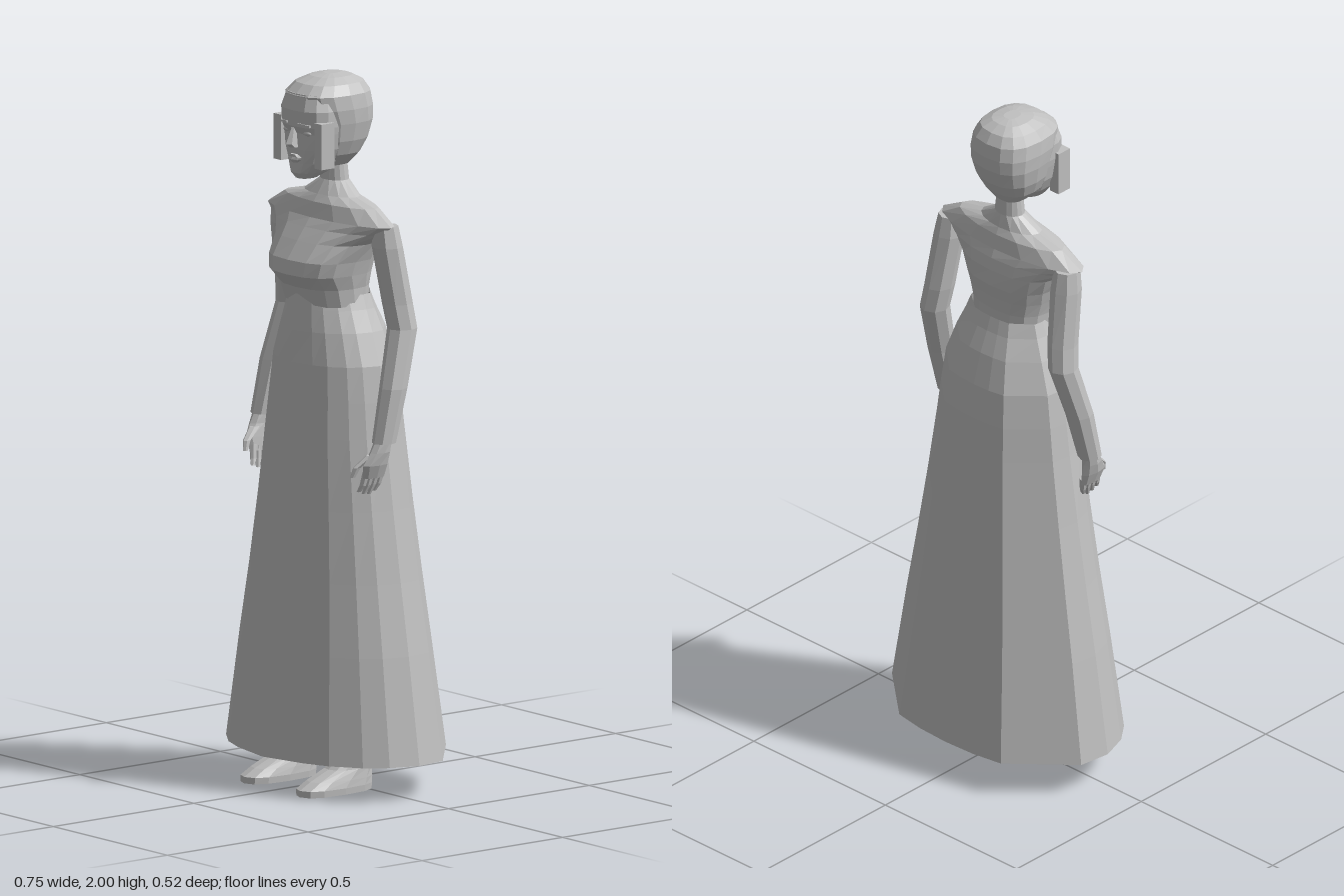
import * as THREE from 'three';

const V = (x, y, z) => new THREE.Vector3(x, y, z);

// Faceted skin over rings listed from bottom to top, each running front -> +x -> back
function loft(rings, capBottom = true, capTop = true) {
  const pos = [];
  const tri = (...p) => p.forEach(v => pos.push(v.x, v.y, v.z));
  const n = rings[0].length;
  const centre = r => r.reduce((s, p) => s.add(p), V(0, 0, 0)).divideScalar(n);
  const low = rings[0], top = rings[rings.length - 1];
  const cl = centre(low), ct = centre(top);
  for (let j = 0; j < n; j++) {
    const k = (j + 1) % n;
    for (let i = 0; i < rings.length - 1; i++) {
      const a = rings[i], b = rings[i + 1];
      tri(a[j], a[k], b[k]);
      tri(a[j], b[k], b[j]);
    }
    if (capBottom) tri(cl, low[k], low[j]);
    if (capTop) tri(ct, top[j], top[k]);
  }
  const g = new THREE.BufferGeometry();
  g.setAttribute('position', new THREE.Float32BufferAttribute(pos, 3));
  g.computeVertexNormals();
  return g;
}

// Horizontal oval: half width hw round cx, reaching zf in front and zb behind; p < 1 squares it off
function oval(n, y, hw, zf, zb, cx = 0, p = 1) {
  const zm = (zf + zb) / 2, hz = (zf - zb) / 2;
  const pow = t => Math.sign(t) * Math.abs(t) ** p;
  return Array.from({ length: n }, (_, i) => {
    const a = i / n * Math.PI * 2;
    return V(cx + hw * pow(Math.sin(a)), y, zm + hz * pow(Math.cos(a)));
  });
}

// Limb rings from rows of [x, y, z, radiusX, radiusZ]
const limb = (n, rows, p = 1) => rows.map(([x, y, z, rx, rz]) => oval(n, y, rx, z + rz, z - rz, x, p));
const mirror = rings => rings.map(r => r.map(v => V(-v.x, v.y, v.z)).reverse());

export function createModel() {
  const model = new THREE.Group();
  model.name = 'standingWoman';
  const grey = new THREE.MeshStandardMaterial({ color: 0xc0c0c0 });
  grey.name = 'plain grey';
  const cloth = new THREE.MeshStandardMaterial({ color: 0xc0c0c0, side: THREE.DoubleSide });
  cloth.name = 'plain grey cloth';
  const add = (name, geo, mat = grey) => {
    const m = new THREE.Mesh(geo, mat);
    m.name = name;
    model.add(m);
    return m;
  };
  const addPair = (name, rings) => {
    add('left' + name, loft(rings));
    add('right' + name, loft(mirror(rings)));
  };

  // Long flared skirt, open at the hem
  const half = [[0, .257], [.14, .228], [.22, .198], [.3, .142], [.345, .083],
    [.373, 0], [.36, -.093], [.193, -.24], [.1, -.255], [0, -.26]];
  const hem = [...half, ...half.slice(1, -1).reverse().map(([x, z]) => [-x, z])];
  const skirt = [[.1, .373, .257, .26], [.4, .326, .226, .226], [.6, .291, .204, .204],
    [.8, .258, .187, .184], [1, .228, .174, .166], [1.1, .215, .164, .157], [1.2, .2, .157, .145],
    [1.29, .167, .148, .118], [1.35, .14, .14, .092], [1.39, .125, .135, .078]]
    .map(([y, w, f, b]) => hem.map(([x, z]) => V(x * w / .373, y, z > 0 ? z * f / .257 : z * b / .26)));
  add('skirt', loft(skirt, false, false), cloth);

  // Bodice, sloping shoulders and neck
  const torso = [[1.36, .125, .125, -.07, .85], [1.41, .128, .14, -.07, .8], [1.45, .138, .174, -.074, .75],
    [1.49, .148, .168, -.08, .75], [1.54, .168, .132, -.08, .8], [1.575, .222, .106, -.074, 1],
    [1.6, .264, .088, -.064, 1.05], [1.642, .19, .074, -.055, 1], [1.662, .105, .06, -.045, 1],
    [1.7, .047, .036, -.036, 1], [1.77, .038, .032, -.03, 1]]
    .map(([y, w, f, b, p]) => oval(16, y, w, f, b, 0, p));
  add('torso', loft(torso));

  // Skull with close-cut hair
  const skull = [[1.745, .045, .07, -.035], [1.78, .078, .09, -.06], [1.82, .094, .1, -.082],
    [1.87, .103, .11, -.097], [1.91, .105, .13, -.1], [1.95, .1, .141, -.094],
    [1.978, .082, .11, -.075], [1.994, .052, .07, -.045], [2, .02, .035, -.015]]
    .map(([y, w, f, b]) => oval(16, y, w, f, b, 0, .78));
  add('hair', loft(skull));

  // Face
  const face = [[1.715, .025, .13, .07], [1.732, .042, .143, .03], [1.76, .064, .142, .01],
    [1.8, .083, .143, 0], [1.845, .092, .141, 0], [1.865, .095, .15, 0],
    [1.91, .095, .152, 0], [1.955, .082, .138, 0]]
    .map(([y, w, f, b]) => oval(14, y, w, f, b, 0, .85));
  add('face', loft(face));
  add('nose', loft(limb(6, [[0, 1.806, .145, .016, .014], [0, 1.816, .15, .014, .022],
    [0, 1.86, .143, .006, .01]])));
  add('lips', loft(limb(8, [[0, 1.762, .139, .012, .008], [0, 1.771, .14, .026, .014],
    [0, 1.778, .14, .028, .01], [0, 1.786, .14, .012, .013]])));
  for (const s of [1, -1]) {
    const side = s > 0 ? 'left' : 'right';
    const eye = add(side + 'Eye', new THREE.SphereGeometry(1, 8, 6));
    eye.scale.set(.017, .008, .009);
    eye.position.set(s * .042, 1.848, .131);
    const brow = add(side + 'Brow', new THREE.BoxGeometry(.042, .006, .008));
    brow.position.set(s * .043, 1.872, .143);
    brow.rotation.set(0, s * .2, s * -.08);
    // Straight lock of hair beside the cheek
    const lock = add(side + 'HairLock', new THREE.BoxGeometry(.032, .128, .046));
    lock.position.set(s * .089, 1.818, .108);
  }

  // Arms, bent slightly at the elbow
  addPair('Arm', limb(8, [[.266, 1, .04, .033, .034], [.262, 1.15, .003, .038, .04],
    [.244, 1.31, -.043, .041, .043], [.234, 1.38, -.034, .042, .044],
    [.222, 1.54, -.008, .044, .043], [.22, 1.6, -.002, .036, .037]]));

  // Hands: palm, four fingers and thumb
  addPair('Palm', limb(8, [[.248, .902, .062, .014, .038], [.258, .94, .063, .019, .044],
    [.264, .975, .052, .021, .034], [.266, 1.01, .042, .022, .025]]));
  for (let i = 0; i < 4; i++) {
    const z = .034 + i * .018, tip = .852 + Math.abs(i - 1.3) * .007;
    addPair('Finger' + (i + 1), limb(6, [[.232, tip, z + .014, .006, .006],
      [.24, .882, z + .006, .009, .01], [.248, .92, z, .011, .011]]));
  }
  addPair('Thumb', limb(6, [[.235, .908, .126, .007, .008], [.241, .935, .116, .01, .012],
    [.256, .968, .076, .013, .018]]));

  // Legs inside the skirt, and feet
  addPair('Leg', limb(8, [[.122, .07, .025, .04, .04], [.122, .14, .02, .038, .04],
    [.12, .35, .01, .052, .055], [.115, .55, .015, .05, .052], [.105, 1, .01, .078, .078]]));
  addPair('Foot', [[0, .052, .222, -.02], [.018, .053, .222, -.022], [.038, .05, .185, -.022],
    [.065, .045, .12, -.02], [.11, .04, .066, -.018]]
    .map(([y, w, f, b]) => oval(12, y, w, f, b, .122, .75)));

  return model;
}
